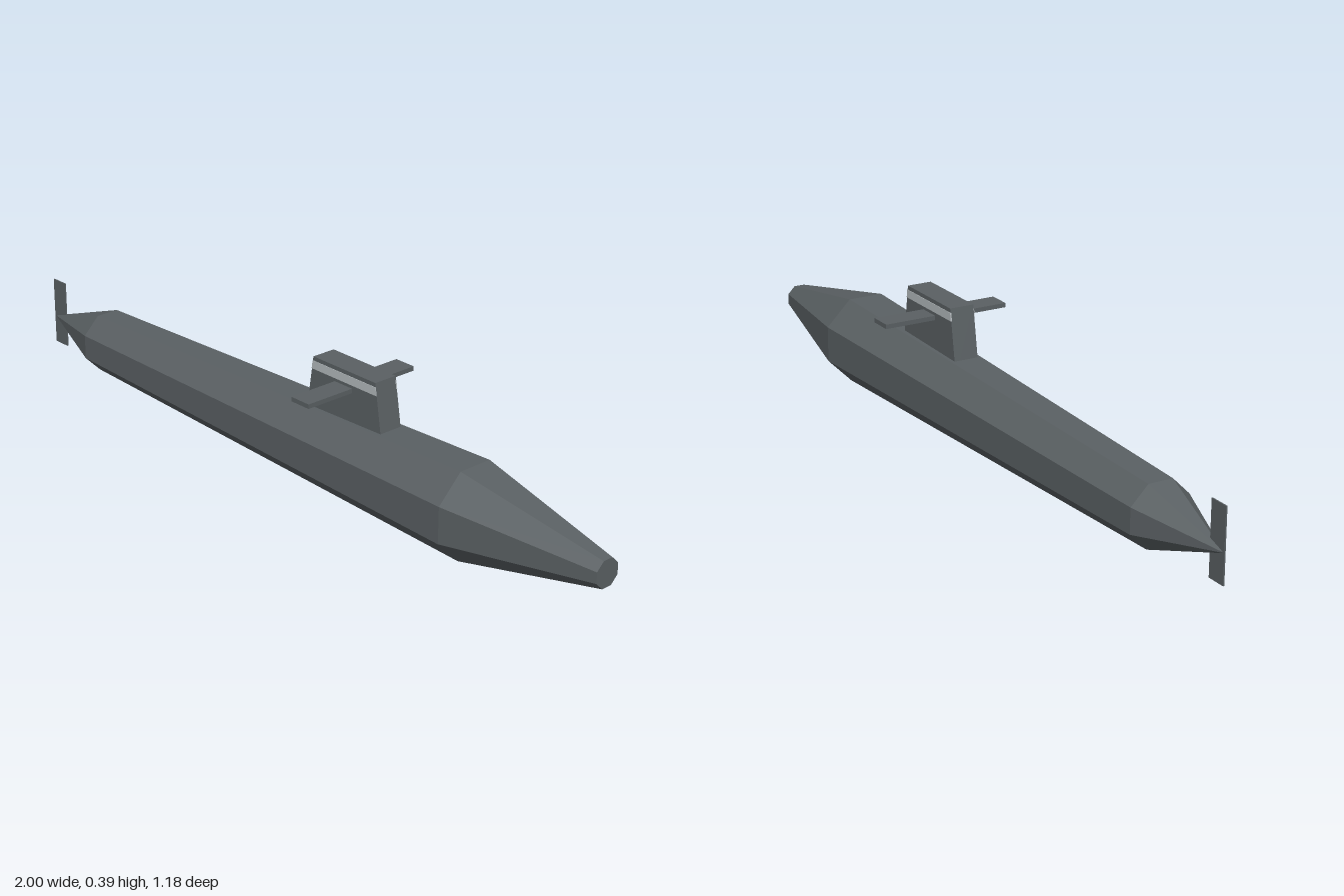
import * as THREE from 'three';

export function createModel() {
  const hullGrey = new THREE.MeshStandardMaterial({ color: 0x5a6063, flatShading: true });
  hullGrey.name = 'hull grey';
  const lightGrey = new THREE.MeshStandardMaterial({ color: 0xb4babd, flatShading: true });
  lightGrey.name = 'light grey';

  const model = new THREE.Group();
  model.name = 'submarine';
  // The boat lies along local x, nose at +x, and is turned 30 degrees
  const boat = new THREE.Group();
  boat.name = 'boat';
  boat.rotation.y = -Math.PI / 6;
  boat.position.set(0.006, 0, -0.01);
  model.add(boat);

  const add = (name, geometry, material, x, y, z) => {
    const mesh = new THREE.Mesh(geometry, material);
    mesh.name = name;
    mesh.position.set(x, y, z);
    boat.add(mesh);
    return mesh;
  };

  // Eight-sided hull with flat top: [distance along axis, flat-to-centre radius]
  const corner = 1 / Math.cos(Math.PI / 8);
  const profile = [[-1.161, 0], [-0.89, 0.088], [0.667, 0.129], [1.124, 0.039], [1.124, 0]]
    .map(([x, r]) => new THREE.Vector2(r * corner, x));
  const hull = new THREE.LatheGeometry(profile, 8, Math.PI / 8);
  hull.rotateZ(-Math.PI / 2);
  add('hull', hull, hullGrey, 0, 0.133, 0);

  // Slab between two heights whose ends slope inwards like the sail
  const halfLength = (y) => 0.145 - (y - 0.25) * 0.16;
  const slopedSlab = (y0, y1, width) => {
    const geometry = new THREE.BoxGeometry(2, y1 - y0, width);
    geometry.translate(0, (y0 + y1) / 2, 0);
    const p = geometry.attributes.position;
    for (let i = 0; i < p.count; i++) p.setX(i, p.getX(i) * halfLength(p.getY(i)));
    geometry.computeVertexNormals();
    return geometry;
  };
  const sailX = 0.209;
  add('sail', slopedSlab(0.2, 0.395, 0.074), hullGrey, sailX, 0, 0);

  // Pale strip and diving plane on each side of the sail
  for (const [side, s] of [['left', -1], ['right', 1]]) {
    add(side + 'SailStrip', slopedSlab(0.359, 0.383, 0.004), lightGrey, sailX, 0, s * 0.0365);
    add(side + 'DivingPlane', new THREE.BoxGeometry(0.068, 0.013, 0.163), hullGrey,
      0.207, 0.343, s * 0.1115);
  }

  // Upright rudder at the tail
  add('rudder', new THREE.BoxGeometry(0.058, 0.208, 0.004), hullGrey, -1.132, 0.151, 0);

  return model;
}
